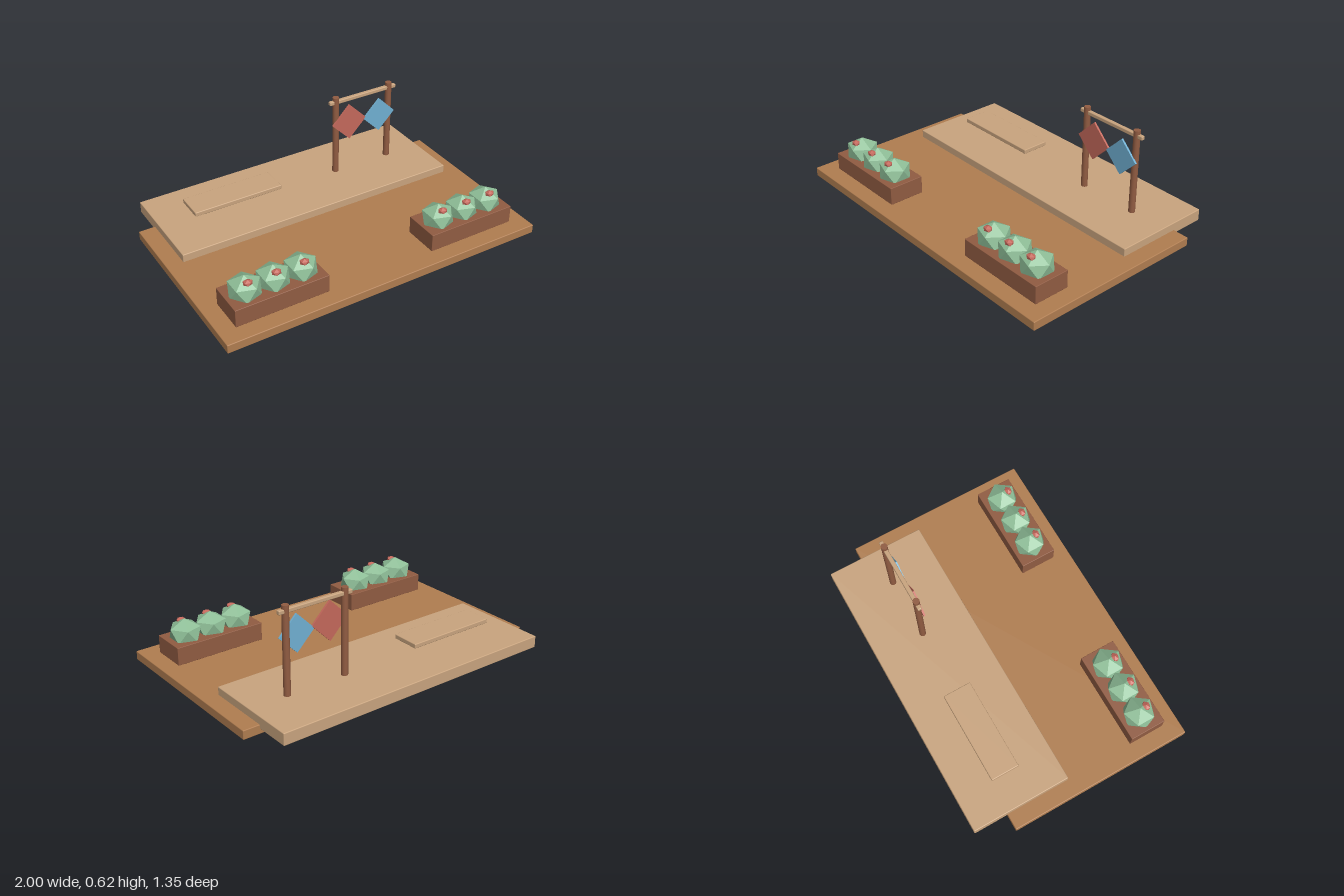
import * as THREE from 'three';
import { RoundedBoxGeometry } from 'three/addons/geometries/RoundedBoxGeometry.js';

const material = (name, color) => {
  const m = new THREE.MeshStandardMaterial({ color });
  m.name = name;
  return m;
};

export function createModel() {
  const model = new THREE.Group();
  model.name = 'gardenDeck';

  const wood = material('warm wood', 0xb07d50);
  const paleWood = material('pale wood', 0xc9a47e);
  const darkWood = material('dark wood', 0x915c42);
  const leaf = material('leaf green', 0x8fbf98);
  const red = material('soft red', 0xc4685b);
  const blue = material('sky blue', 0x70b0d2);

  const add = (name, geometry, mat, x, y, z, parent = model) => {
    const mesh = new THREE.Mesh(geometry, mat);
    mesh.name = name;
    mesh.position.set(x, y, z);
    parent.add(mesh);
    return mesh;
  };

  // Box given by its limits, with slightly softened edges
  const slab = (name, mat, [x0, x1], [y0, y1], [z0, z1], parent = model, bevel = 0.005) =>
    add(name, new RoundedBoxGeometry(x1 - x0, y1 - y0, z1 - z0, 2, bevel), mat,
      (x0 + x1) / 2, (y0 + y1) / 2, (z0 + z1) / 2, parent);

  // Faceted ball with one corner pointing straight up
  const facetedBall = (sx, sy, sz) => {
    const g = new THREE.IcosahedronGeometry(1, 0);
    g.rotateZ(-Math.atan(2 / (1 + Math.sqrt(5))));
    g.scale(sx, sy, sz);
    return g;
  };

  // Platforms and low bench
  slab('basePlatform', wood, [-1, 1], [0, 0.055], [-0.465, 0.675]);
  slab('rearDeck', paleWood, [-0.9, 0.9], [0.03, 0.103], [-0.678, -0.065]);
  slab('benchBoard', paleWood, [-0.713, -0.148], [0.16, 0.188], [-0.458, -0.285]);

  // Planters, each with three flowering bushes
  const bushGeometry = facetedBall(0.102, 0.086, 0.102);
  const flowerGeometry = facetedBall(0.03, 0.018, 0.025);
  for (const side of [-1, 1]) {
    const planter = new THREE.Group();
    planter.name = side < 0 ? 'rightPlanter' : 'leftPlanter';
    planter.position.x = side * 0.619;
    model.add(planter);
    slab('planterBox', darkWood, [-0.281, 0.281], [0.055, 0.164], [0.355, 0.575], planter, 0.003);
    for (const i of [-1, 0, 1]) {
      add('bush', bushGeometry, leaf, i * 0.168, 0.192, 0.465, planter);
      add('flower', flowerGeometry, red, i * 0.168, 0.255, 0.506, planter);
    }
  }

  // Hanging frame: two posts and a rail
  const frame = new THREE.Group();
  frame.name = 'hangingFrame';
  model.add(frame);
  const postGeometry = new THREE.CylinderGeometry(0.02, 0.02, 0.52, 12);
  for (const x of [0.283, 0.663]) add('post', postGeometry, darkWood, x, 0.36, -0.37, frame);
  slab('rail', paleWood, [0.238, 0.71], [0.575, 0.599], [-0.383, -0.358], frame);

  // Diamond panels
  for (const [name, mat, x, y, size, z] of [
    ['redPanel', red, 0.366, 0.441, 0.167, -0.348],
    ['bluePanel', blue, 0.58, 0.43, 0.158, -0.347],
  ]) {
    add(name, new THREE.BoxGeometry(size, size, 0.012), mat, x, y, z, frame).rotation.z = Math.PI / 4;
  }

  return model;
}
